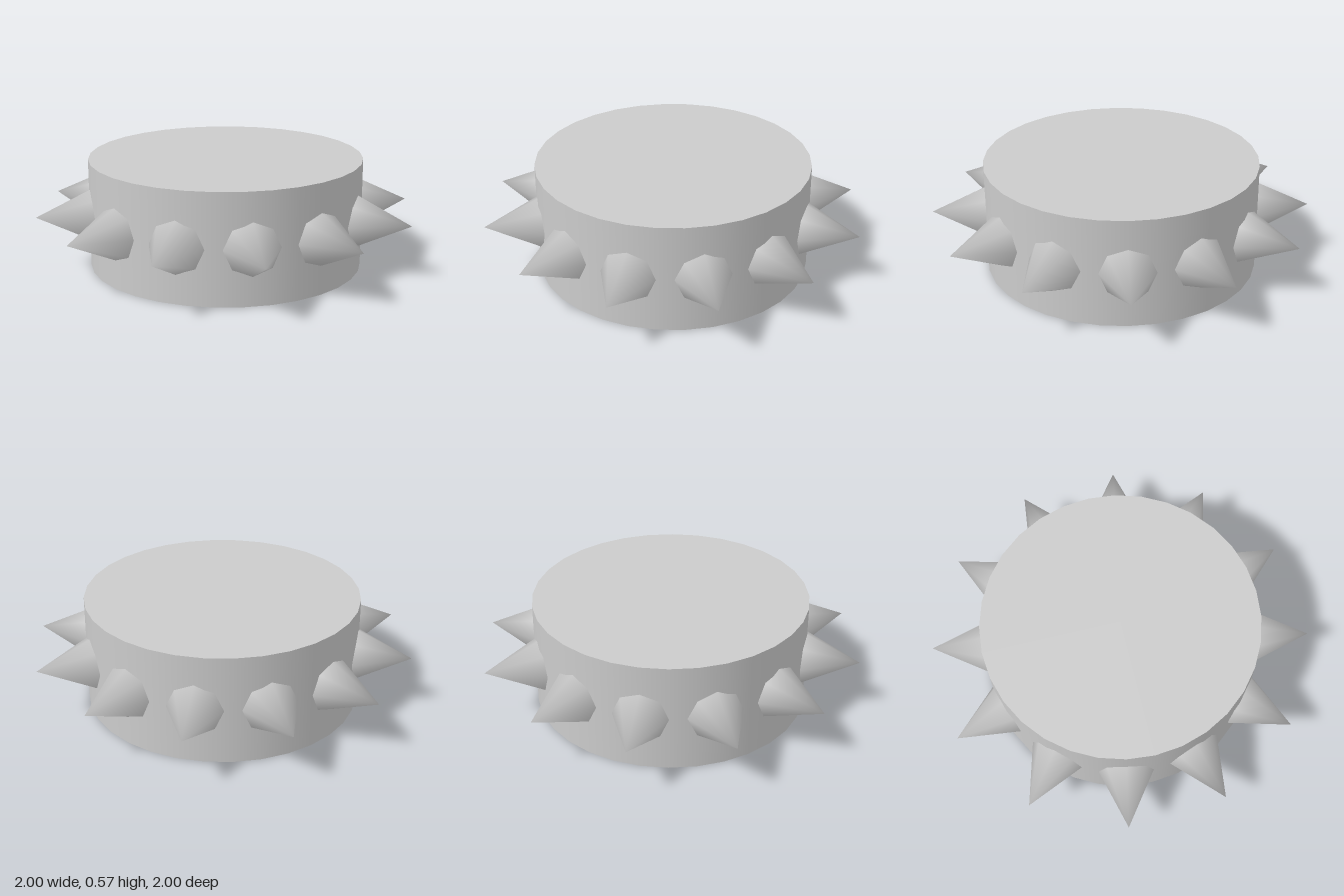
import * as THREE from 'three';
import { mergeVertices } from 'three/addons/utils/BufferGeometryUtils.js';

const RADIUS = 0.72, HEIGHT = 0.575, SPIKES = 12;
const SPIKE_BASE = 0.645, SPIKE_TIP = 1, SPIKE_RADIUS = 0.171;

// Eight-sided cone along +z, smoothly shaded over its tip, with a corner at the top
function spikeGeometry() {
  const length = SPIKE_TIP - SPIKE_BASE;
  const cone = new THREE.ConeGeometry(SPIKE_RADIUS, length, 8);
  cone.deleteAttribute('normal');
  cone.deleteAttribute('uv');
  const smooth = mergeVertices(cone);
  smooth.computeVertexNormals();
  return smooth.rotateX(Math.PI / 2).translate(0, 0, SPIKE_BASE + length / 2);
}

export function createModel() {
  const model = new THREE.Group();
  model.name = 'spikedDisc';
  const material = new THREE.MeshStandardMaterial({ color: 0xcccccc });

  // Solid drum
  const drum = new THREE.Mesh(new THREE.CylinderGeometry(RADIUS, RADIUS, HEIGHT, 32), material);
  drum.name = 'drum';
  drum.position.y = HEIGHT / 2;
  model.add(drum);

  // Ring of spikes at mid height, rooted inside the drum
  const spikes = new THREE.Group();
  spikes.name = 'spikes';
  spikes.position.y = HEIGHT / 2;
  const geometry = spikeGeometry();
  for (let i = 0; i < SPIKES; i++) {
    const spike = new THREE.Mesh(geometry, material);
    spike.name = `spike${i + 1}`;
    spike.rotation.y = (i / SPIKES) * Math.PI * 2;
    spikes.add(spike);
  }
  model.add(spikes);

  return model;
}
